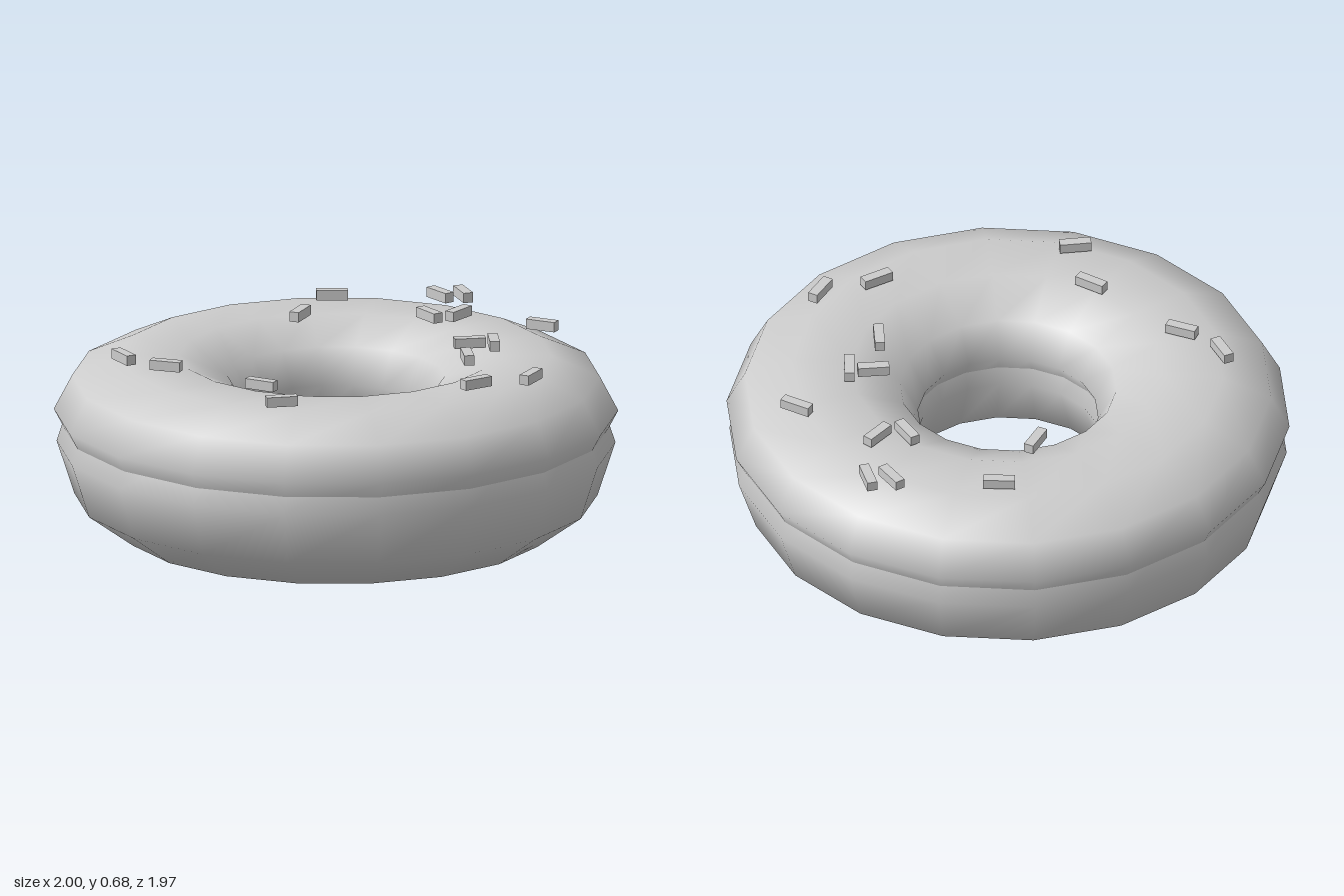
import * as THREE from 'three';

const SEGMENTS = 18; // sides around the ring
const TUBE_SIDES = 10; // sides around the tube

export function createModel() {
  const group = new THREE.Group();
  group.name = 'donut';
  const grey = new THREE.MeshStandardMaterial({ color: 0xcccccc });
  grey.name = 'light grey';

  function add(name, geometry, y) {
    const mesh = new THREE.Mesh(geometry, grey);
    mesh.name = name;
    mesh.position.y = y;
    group.add(mesh);
    return mesh;
  }

  // Flat-lying ring, optionally squashed in height
  function ring(tube, squash) {
    return new THREE.TorusGeometry(0.66, tube, TUBE_SIDES, SEGMENTS)
      .rotateX(Math.PI / 2)
      .scale(1, squash, 1);
  }

  // Dough and the slightly wider, flatter icing over its upper half
  add('dough', ring(0.33, 1), 0.314);
  add('icing', ring(0.34, 0.62), 0.431);

  // Sprinkles: x, z, angle from +x towards +z in degrees
  const sprinkles = [
    [0.22, -0.67, 18], [0.03, -0.47, -48], [0.58, -0.54, 72], [0.66, -0.52, 90],
    [0.455, -0.3, 75], [0.56, -0.285, -35], [-0.75, -0.135, 80], [-0.645, 0.02, 38],
    [0.79, -0.045, 45], [0.47, 0.09, 10], [0.55, 0.12, -75], [0.4, 0.265, -78],
    [-0.41, 0.37, 48], [-0.415, 0.6, 8], [0.315, 0.6, -15], [0.525, 0.59, -45],
  ];
  const stick = new THREE.BoxGeometry(0.112, 0.036, 0.036);
  for (const [x, z, angle] of sprinkles) {
    const mesh = add('sprinkle', stick, 0.659);
    mesh.position.x = x;
    mesh.position.z = z;
    mesh.rotation.y = -THREE.MathUtils.degToRad(angle);
  }

  return group;
}
